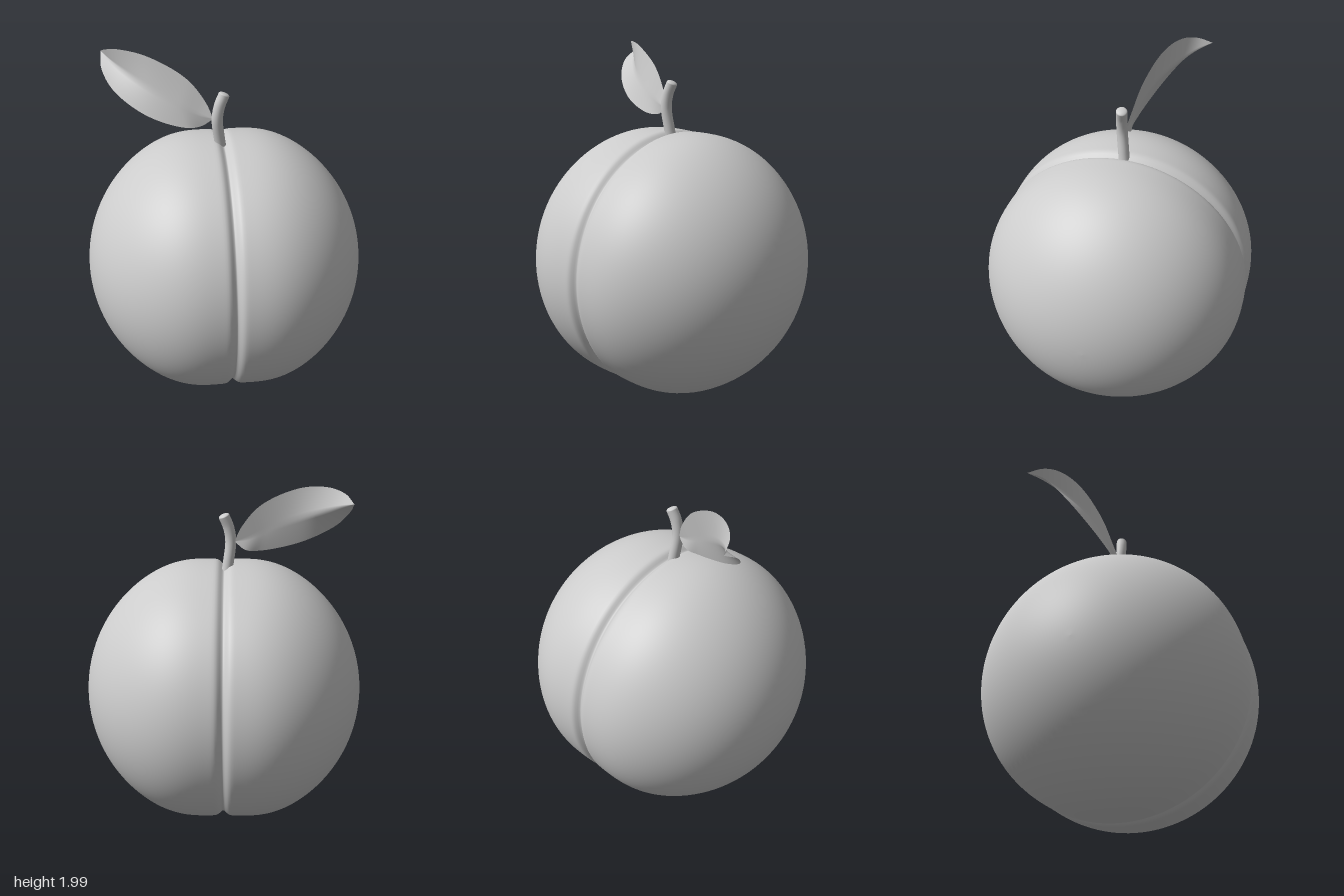
import * as THREE from 'three';

const grey = new THREE.MeshStandardMaterial({ color: 0xcccccc });
const thin = new THREE.MeshStandardMaterial({ color: 0xcccccc, side: THREE.DoubleSide });

function part(name, geometry, material = grey) {
  const mesh = new THREE.Mesh(geometry, material);
  mesh.name = name;
  return mesh;
}

const curve = (pts) => new THREE.CatmullRomCurve3(pts.map((p) => new THREE.Vector3(...p)));

// Two-lobed fruit: turned about the axis across the lobes, so the cleft is its equator
function fruitGeometry() {
  const profile = [];
  const n = 90;
  for (let i = 0; i <= n; i++) {
    const s = (2 * i) / n - 1;
    const t = Math.sign(s) * Math.abs(s) ** 1.6 * Math.PI / 2; // rings crowd into the cleft
    const d = 0.77 * Math.sin(t);
    const r = 0.8 - 0.042 * Math.exp(-((d / 0.22) ** 2)) - 0.028 * Math.exp(-((d / 0.025) ** 2));
    profile.push(new THREE.Vector2(Math.max(0, r * Math.cos(t)), r * Math.sin(t)));
  }
  const geometry = new THREE.LatheGeometry(profile, 112);
  const across = new THREE.Vector3(0.9, 0, 0.436).normalize();
  geometry.applyQuaternion(new THREE.Quaternion().setFromUnitVectors(new THREE.Vector3(0, 1, 0), across));
  geometry.translate(0, 0.77, 0);
  return geometry;
}

// Leaf: a grid spanned between lower edge, midrib and upper edge, folded at the midrib
function leafGeometry() {
  const base = [-0.05, 1.66, -0.03];
  const tip = [-0.435, 1.945, -0.61];
  const upper = curve([base, [-0.075, 1.75, -0.07], [-0.15, 1.875, -0.145], [-0.3, 1.98, -0.29],
    [-0.4, 2.0, -0.42], [-0.44, 1.98, -0.52], tip]);
  const mid = curve([base, [-0.11, 1.68, -0.075], [-0.2, 1.735, -0.145], [-0.31, 1.81, -0.27],
    [-0.385, 1.875, -0.42], [-0.42, 1.915, -0.52], tip]);
  const lower = curve([base, [-0.1, 1.615, -0.07], [-0.18, 1.61, -0.1], [-0.35, 1.67, -0.235],
    [-0.465, 1.785, -0.4], [-0.48, 1.88, -0.51], tip]);
  const geometry = new THREE.PlaneGeometry(1, 2, 40, 12);
  const pos = geometry.attributes.position;
  for (let i = 0; i < pos.count; i++) {
    const t = THREE.MathUtils.clamp(pos.getX(i) + 0.5, 0, 1);
    const s = pos.getY(i);
    const p = mid.getPoint(t).lerp((s > 0 ? upper : lower).getPoint(t), Math.abs(s));
    pos.setXYZ(i, p.x, p.y, p.z);
  }
  geometry.computeVertexNormals();
  return geometry;
}

export function createModel() {
  const model = new THREE.Group();
  model.name = 'fruit';
  model.add(part('fruitBody', fruitGeometry()));

  // Curved stem with a rounded end
  const path = curve([[-0.005, 1.46, -0.018], [-0.02, 1.54, -0.015], [-0.037, 1.66, -0.01],
    [-0.025, 1.74, -0.005], [0, 1.8, 0]]);
  model.add(part('stem', new THREE.TubeGeometry(path, 32, 0.031, 20)));
  const cap = part('stemEnd', new THREE.SphereGeometry(0.031, 20, 12));
  cap.scale.y = 0.4;
  cap.position.set(0, 1.8, 0);
  cap.quaternion.setFromUnitVectors(new THREE.Vector3(0, 1, 0), path.getTangent(1));
  model.add(cap);

  model.add(part('leaf', leafGeometry(), thin));
  return model;
}
